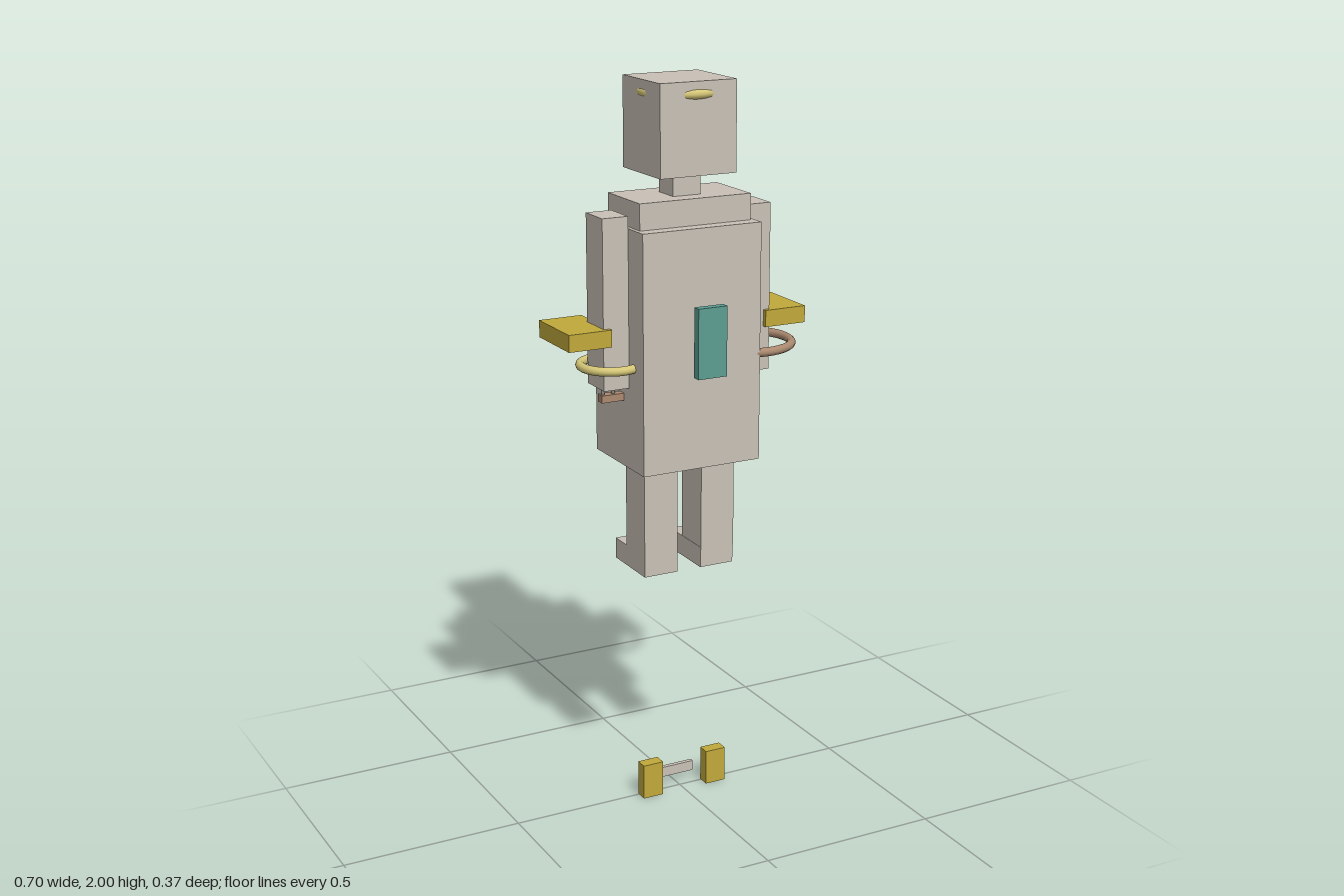
import * as THREE from 'three';

export function createModel() {
  const group = new THREE.Group();
  const material = (name, color) => {
    const m = new THREE.MeshStandardMaterial({ color });
    m.name = name;
    return m;
  };
  const stone = material('stone', 0xc9c1b7);
  const gold = material('gold', 0xc1a93b);
  const teal = material('teal', 0x5c9e92);
  const copper = material('copper', 0xac8a70);
  const brass = material('brass', 0xd6c878);
  const steel = material('steel', 0x8f8780);

  const add = (name, geometry, mat, x, y, z) => {
    const mesh = new THREE.Mesh(geometry, mat);
    mesh.name = name;
    mesh.position.set(x, y, z);
    group.add(mesh);
    return mesh;
  };
  // Box from its minimum and maximum along each axis
  const box = (name, mat, [x0, x1], [y0, y1], [z0, z1]) =>
    add(name, new THREE.BoxGeometry(x1 - x0, y1 - y0, z1 - z0), mat,
      (x0 + x1) / 2, (y0 + y1) / 2, (z0 + z1) / 2);
  // Horizontal ring
  const ring = (name, mat, radius, tube, x, y, z) =>
    add(name, new THREE.TorusGeometry(radius, tube, 10, 40).rotateX(Math.PI / 2), mat, x, y, z);
  // Thin upright rod
  const rod = (name, radius, x, y0, y1, z) =>
    add(name, new THREE.CylinderGeometry(radius, radius, y1 - y0, 8), steel, x, (y0 + y1) / 2, z);

  // Head, neck and body
  box('head', stone, [-0.11, 0.11], [1.76, 2], [-0.107, 0.104]);
  ring('headBand', brass, 0.101, 0.013, 0, 1.967, -0.001);
  box('neck', stone, [-0.04, 0.04], [1.7, 1.76], [-0.04, 0.04]);
  box('shoulders', stone, [-0.162, 0.162], [1.63, 1.7], [-0.094, 0.09]);
  box('torso', stone, [-0.173, 0.173], [0.985, 1.63], [-0.156, 0.128]);

  // Chest and back panels
  box('chestPanel', teal, [-0.042, 0.042], [1.245, 1.433], [0.16, 0.184]);
  box('backPanel', teal, [-0.042, 0.042], [1.245, 1.433], [-0.187, -0.162]);

  // Paired limbs and plates
  for (const s of [-1, 1]) {
    const side = s > 0 ? 'left' : 'right';
    const span = (a, b) => (s > 0 ? [a, b] : [-b, -a]);
    box(side + 'Arm', stone, span(0.174, 0.247), [1.207, 1.662], [-0.05, 0.047]);
    box(side + 'ArmPlate', gold, span(0.229, 0.351), [1.327, 1.373], [-0.125, 0.06]);
    box(side + 'Leg', stone, span(0.036, 0.136), [0.723, 0.985], [-0.053, 0.057]);
    box(side + 'Foot', stone, span(0.035, 0.135), [0.673, 0.731], [-0.122, 0.055]);
    box(side + 'GroundBlock', gold, span(0.069, 0.129), [0, 0.1], [-0.004, 0.031]);
  }
  box('groundBar', stone, [-0.056, 0.054], [0.024, 0.053], [-0.034, -0.022]);

  // Arm rings
  ring('leftArmRing', copper, 0.123, 0.012, 0.203, 1.277, -0.001);
  ring('rightArmRing', brass, 0.08, 0.012, -0.205, 1.265, -0.001);

  // Rods hanging from the left arm
  rod('leftRodLong', 0.005, 0.2, 1.155, 1.22, 0);
  rod('leftRodShort', 0.006, 0.202, 1.165, 1.22, -0.029);
  rod('leftRodOuter', 0.004, 0.263, 1.2, 1.33, -0.037);

  // Hanging handle below the right arm
  rod('rightRodOuter', 0.005, -0.23, 1.18, 1.22, 0.003);
  rod('rightRodInner', 0.005, -0.2, 1.18, 1.22, 0.003);
  box('rightHandle', copper, [-0.238, -0.174], [1.166, 1.186], [-0.01, 0.016]);

  return group;
}
